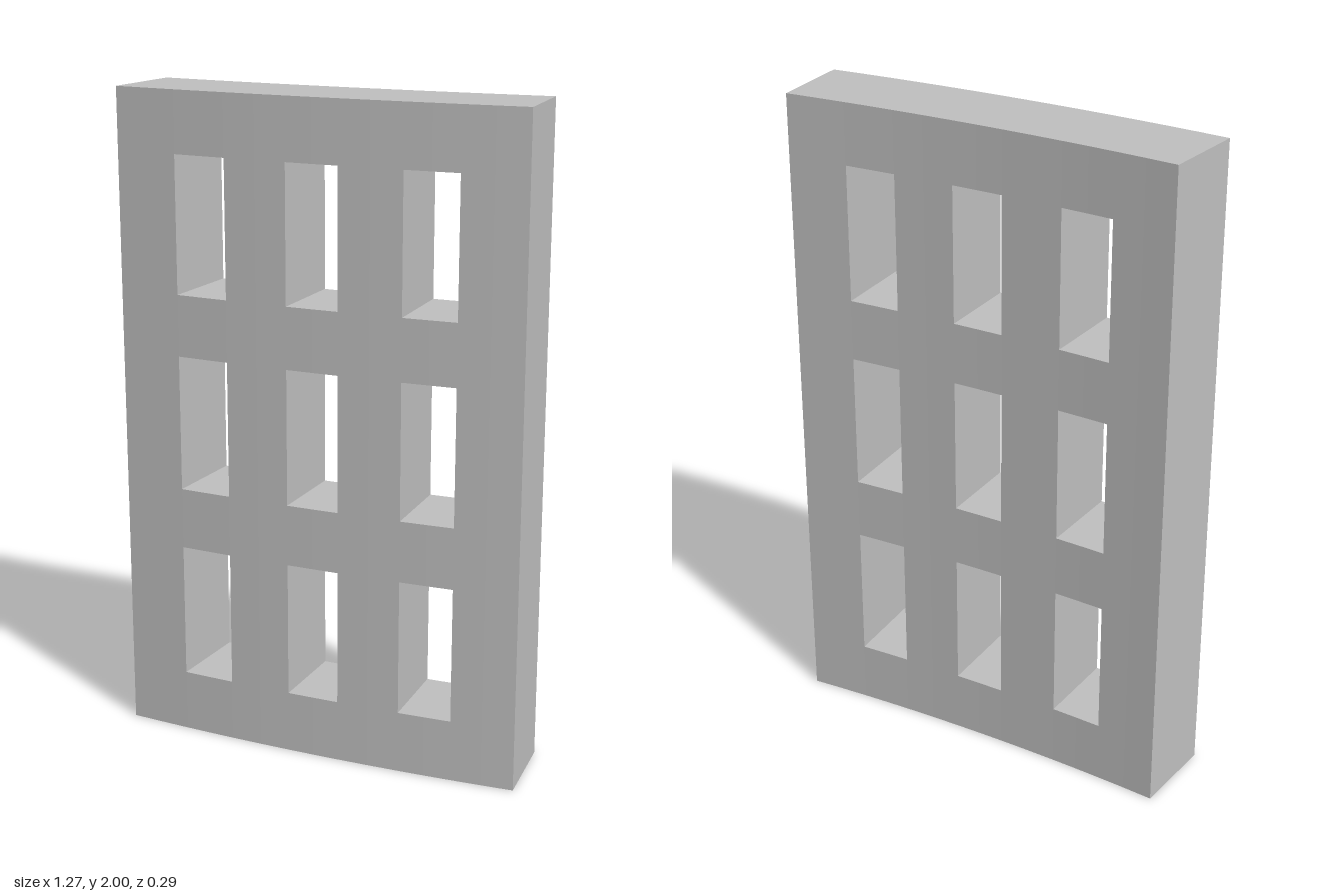
import * as THREE from 'three';

const R_FRONT = 7.92, THICKNESS = 0.267, FRONT_Z = 0.1455;
const HALF_ANGLE = 0.0805;

// Subdivide the intervals between consecutive edges
function subdivide(edges, n) {
  const out = [edges[0]];
  for (let i = 1; i < edges.length; i++)
    for (let s = 1; s <= n; s++) out.push(edges[i - 1] + (edges[i] - edges[i - 1]) * s / n);
  return out;
}

// Curved slab made of radial cells; cells on odd bays in both directions are openings
function curvedWall(angleEdges, heights, n) {
  const angles = subdivide(angleEdges, n);
  const cols = angles.length - 1, rows = heights.length - 1;
  const solid = (i, j) => i >= 0 && j >= 0 && i < cols && j < rows &&
    !(Math.floor(i / n) % 2 === 1 && j % 2 === 1);
  const point = (i, j, k) => {
    const r = k ? R_FRONT : R_FRONT - THICKNESS;
    return [r * Math.sin(angles[i]), heights[j], FRONT_Z - R_FRONT + r * Math.cos(angles[i])];
  };
  const positions = [];
  const quad = (a, b, c, d) => positions.push(...a, ...b, ...c, ...a, ...c, ...d);

  for (let i = 0; i < cols; i++) {
    for (let j = 0; j < rows; j++) {
      if (!solid(i, j)) continue;
      const p = (di, dj, k) => point(i + di, j + dj, k);
      // front and back faces
      quad(p(0, 0, 1), p(1, 0, 1), p(1, 1, 1), p(0, 1, 1));
      quad(p(1, 0, 0), p(0, 0, 0), p(0, 1, 0), p(1, 1, 0));
      // outer ends and window reveals
      if (!solid(i + 1, j)) quad(p(1, 0, 1), p(1, 0, 0), p(1, 1, 0), p(1, 1, 1));
      if (!solid(i - 1, j)) quad(p(0, 0, 0), p(0, 0, 1), p(0, 1, 1), p(0, 1, 0));
      if (!solid(i, j + 1)) quad(p(0, 1, 1), p(1, 1, 1), p(1, 1, 0), p(0, 1, 0));
      if (!solid(i, j - 1)) quad(p(0, 0, 0), p(1, 0, 0), p(1, 0, 1), p(0, 0, 1));
    }
  }
  const geometry = new THREE.BufferGeometry();
  geometry.setAttribute('position', new THREE.Float32BufferAttribute(positions, 3));
  geometry.computeVertexNormals();
  return geometry;
}

export function createModel() {
  const group = new THREE.Group();
  group.name = 'curvedWindowWall';
  const concrete = new THREE.MeshStandardMaterial({ color: 0xc0c0c0 });
  concrete.name = 'concrete grey';

  // Three columns and three rows of window openings
  const angleEdges = [-HALF_ANGLE, -0.0558, -0.035, -0.0103, 0.0103, 0.035, 0.0558, HALF_ANGLE];
  const heights = [0];
  for (let r = 0; r < 3; r++) heights.push(0.19 + r * 0.604, 0.606 + r * 0.604);
  heights.push(2);

  const wall = new THREE.Mesh(curvedWall(angleEdges, heights, 2), concrete);
  wall.name = 'wallPanel';
  group.add(wall);
  return group;
}
